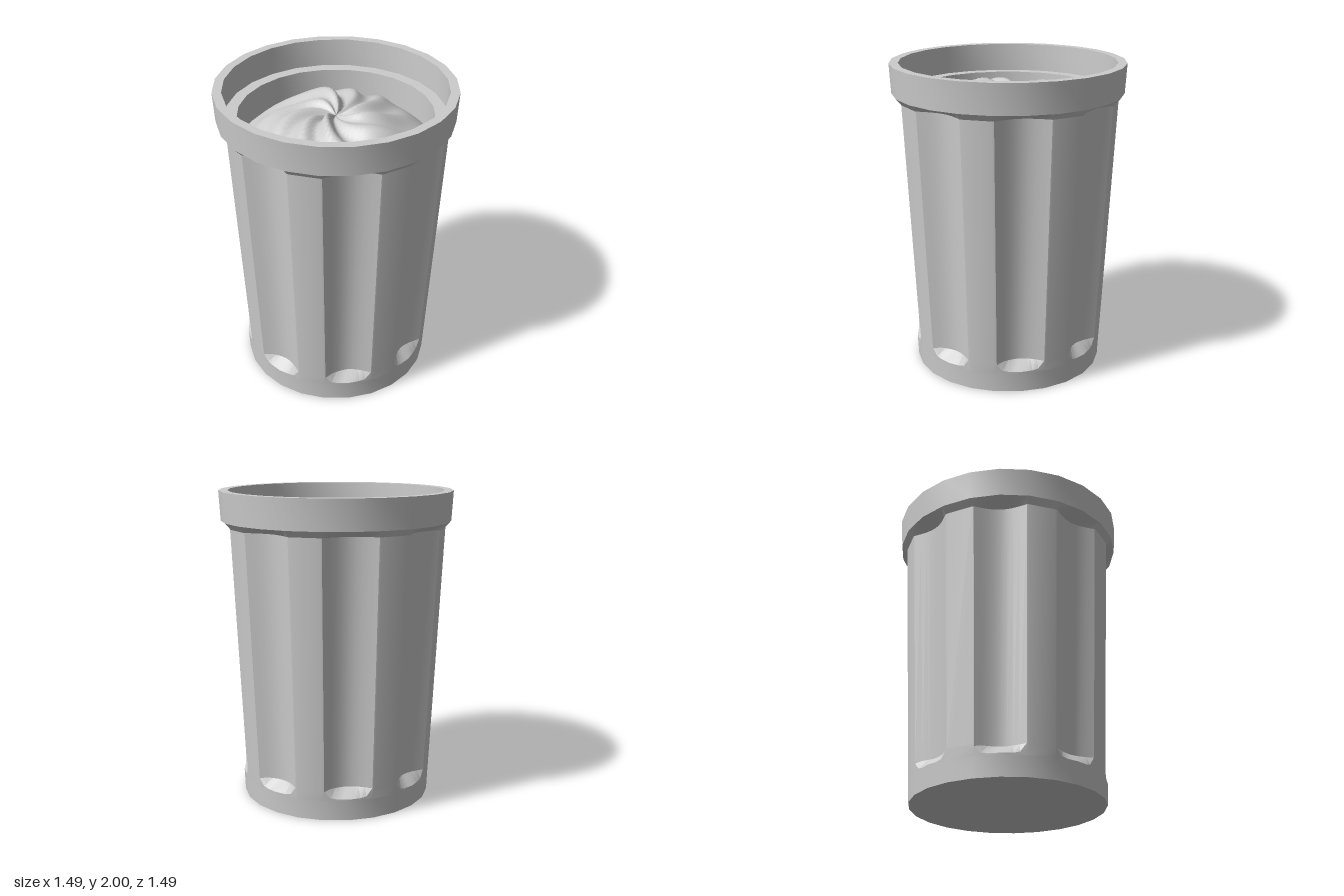
import * as THREE from 'three';
import { toCreasedNormals } from 'three/addons/utils/BufferGeometryUtils.js';

const DEG = Math.PI / 180;
const SIDES = 24;       // facets around rim and base
const FLUTES = 8;
const FLUTE_HALF = 14;  // half width of a flute in degrees
const material = new THREE.MeshStandardMaterial({ color: 0xcccccc });

// Radius factor of a regular polygon with SIDES corners, one of them at angle 0
function polygon(deg) {
  const step = 360 / SIDES;
  const t = ((deg % step) + step) % step - step / 2;
  return Math.cos(step / 2 * DEG) / Math.cos(t * DEG);
}

// Closed skin through rings; point(row, angle) returns [radius, y]
function ringSurface(rows, angles, point) {
  const positions = [], index = [], n = angles.length;
  for (let i = 0; i < rows; i++) {
    for (const deg of angles) {
      const [r, y] = point(i, deg);
      positions.push(r * Math.sin(deg * DEG), y, r * Math.cos(deg * DEG));
    }
  }
  for (let i = 0; i < rows - 1; i++) {
    for (let j = 0; j < n; j++) {
      const k = (j + 1) % n;
      const a = i * n + j, b = i * n + k, c = b + n, d = a + n;
      index.push(a, b, c, a, c, d);
    }
  }
  const geometry = new THREE.BufferGeometry();
  geometry.setAttribute('position', new THREE.Float32BufferAttribute(positions, 3));
  geometry.setIndex(index);
  return geometry;
}

function addPart(group, name, geometry) {
  const mesh = new THREE.Mesh(geometry, material);
  mesh.name = name;
  group.add(mesh);
}

function lathe(points) {
  const geometry = new THREE.LatheGeometry(points.map(([x, y]) => new THREE.Vector2(x, y)), SIDES);
  return toCreasedNormals(geometry, 0.5);
}

// Tapered wall with concave flutes that end in sloping ledges
function flutedWall() {
  const angles = [];
  for (let f = 0; f < FLUTES; f++) {
    const mid = f * 360 / FLUTES;
    for (let s = -4; s <= 4; s++) angles.push(mid + s / 4 * FLUTE_HALF);
    angles.push(mid + 15, mid + 30);
  }
  const ribRadius = y => 0.615 + 0.048 * y;
  const levels = [0.13, 0.14, 0.2, 1.77, 1.81];
  const point = (row, deg) => {
    const period = 360 / FLUTES;
    const local = ((deg + period / 2) % period + period) % period - period / 2;
    const u = Math.min(1, Math.abs(local) / FLUTE_HALF);
    let y = levels[row];
    if (row === 1) y += 0.05 * u ** 6;   // rounded lower corners of the flute
    let r = ribRadius(y) * polygon(deg);
    if (row === 0) r = 0.621 * polygon(deg);
    if (row === 2 || row === 3) {
      if (u < 1) r = ribRadius(y) * polygon(FLUTE_HALF) - 0.07 * (1 - u * u);
    }
    if (row === 4) r = 0.736 * polygon(deg);
    return [r, y];
  };
  return toCreasedNormals(ringSurface(levels.length, angles, point), 0.4);
}

// Crumpled, swirled heap filling the bin
function heap() {
  const rows = 22, angles = [];
  for (let i = 0; i < 90; i++) angles.push(i * 4);
  const point = (row, deg) => {
    const r = 0.605 * (1 - row / (rows - 1));
    const t = deg * DEG, q = r / 0.605;
    const swirl = t - 2.2 * r;
    const ridge = Math.cos(9 * swirl + 0.8 * Math.sin(2 * t)) + 0.5 * Math.sin(5 * swirl + 1 + 6 * r);
    const lumps = Math.sin(3 * t + 9 * r) + 0.7 * Math.cos(7 * t - 16 * r);
    const amount = Math.sin(Math.PI * Math.min(1, q * 1.05) ** 0.8);
    const y = 1.62 + 0.23 * (1 - q ** 2.4) - 0.05 * Math.exp(-((r / 0.12) ** 2))
      + 0.026 * amount * ridge + 0.013 * amount * lumps;
    return [r, y];
  };
  const geometry = ringSurface(rows, angles, point);
  geometry.computeVertexNormals();
  return geometry;
}

export function createModel() {
  const bin = new THREE.Group();
  bin.name = 'bin';

  // Foot band with closed underside
  addPart(bin, 'base', lathe([[0, 0], [0.615, 0], [0.621, 0.13]]));
  addPart(bin, 'flutedWall', flutedWall());
  // Rim band, inner step and upper lining
  addPart(bin, 'rim', lathe([
    [0.736, 1.81], [0.747, 2], [0.69, 2], [0.685, 1.82], [0.61, 1.82], [0.603, 1.5],
  ]));
  addPart(bin, 'contents', heap());
  return bin;
}
